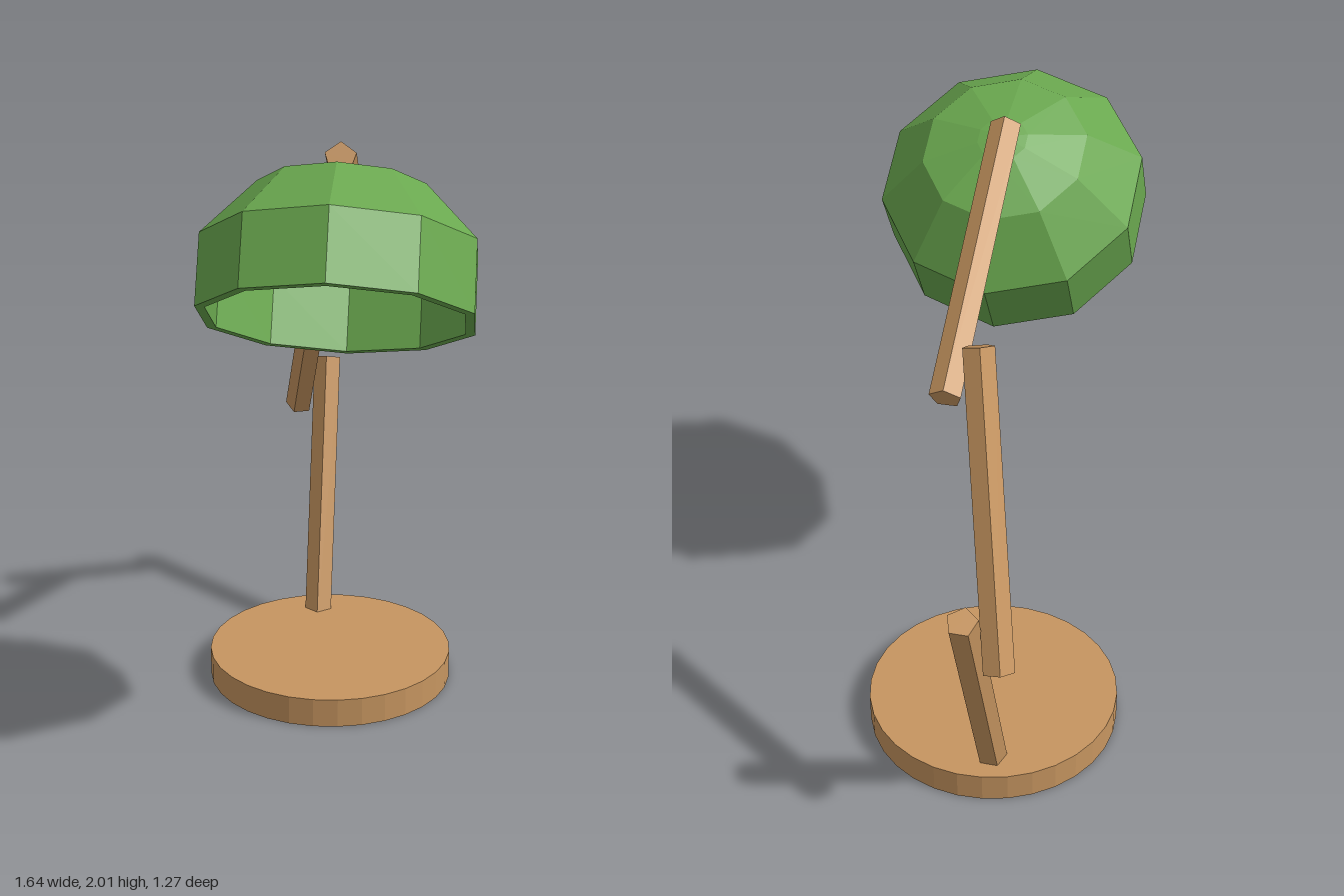
import * as THREE from 'three';

const wood = new THREE.MeshStandardMaterial({ color: 0xc69560 });
wood.name = 'wood';
const green = new THREE.MeshStandardMaterial({ color: 0x6aa84f });
green.name = 'green';

// Mesh with faceted normals
function faceted(name, geometry, material) {
  const flat = geometry.toNonIndexed();
  flat.computeVertexNormals();
  const mesh = new THREE.Mesh(flat, material);
  mesh.name = name;
  return mesh;
}

// Turn local +y along an axis, with local +z as close to world up as possible
function aim(mesh, axis) {
  const y = axis.clone().normalize();
  const z = new THREE.Vector3(0, 1, 0);
  z.addScaledVector(y, -z.dot(y)).normalize();
  const x = new THREE.Vector3().crossVectors(y, z);
  mesh.quaternion.setFromRotationMatrix(new THREE.Matrix4().makeBasis(x, y, z));
}

// Five-sided wooden bar between two points
function bar(name, from, to) {
  const a = new THREE.Vector3(...from);
  const b = new THREE.Vector3(...to);
  const axis = b.clone().sub(a);
  const mesh = faceted(name, new THREE.CylinderGeometry(0.05, 0.05, axis.length(), 5), wood);
  mesh.position.copy(a).add(b).multiplyScalar(0.5);
  aim(mesh, axis);
  return mesh;
}

export function createModel() {
  const lamp = new THREE.Group();
  lamp.name = 'deskLamp';

  // Round foot
  const base = faceted('base', new THREE.CylinderGeometry(0.425, 0.425, 0.1, 32), wood);
  base.position.set(-0.185, 0.05, -0.205);
  lamp.add(base);

  // Three jointed arms
  lamp.add(
    bar('lowerArm', [-0.452, 0.05, -0.352], [-0.71, 0.97, -0.59]),
    bar('middleArm', [-0.775, 0.785, -0.505], [-0.355, 1.64, -0.335]),
    bar('upperArm', [-0.375, 1.51, -0.455], [0.26, 1.965, 0.1])
  );

  // Hollow ten-sided shade: inside from the crown down, round the rim, up the outside
  const profile = [
    [0, 0.44], [0.235, 0.37], [0.395, 0.21], [0.395, 0],
    [0.425, 0], [0.425, 0.222], [0.262, 0.4], [0.08, 0.455], [0, 0.47]
  ].map(([r, h]) => new THREE.Vector2(r, h));
  const shade = faceted('shade', new THREE.LatheGeometry(profile, 10), green);
  shade.position.set(0.435, 1.527, 0.245);
  aim(shade, new THREE.Vector3(-0.37, 0.86, -0.34));
  lamp.add(shade);

  return lamp;
}
